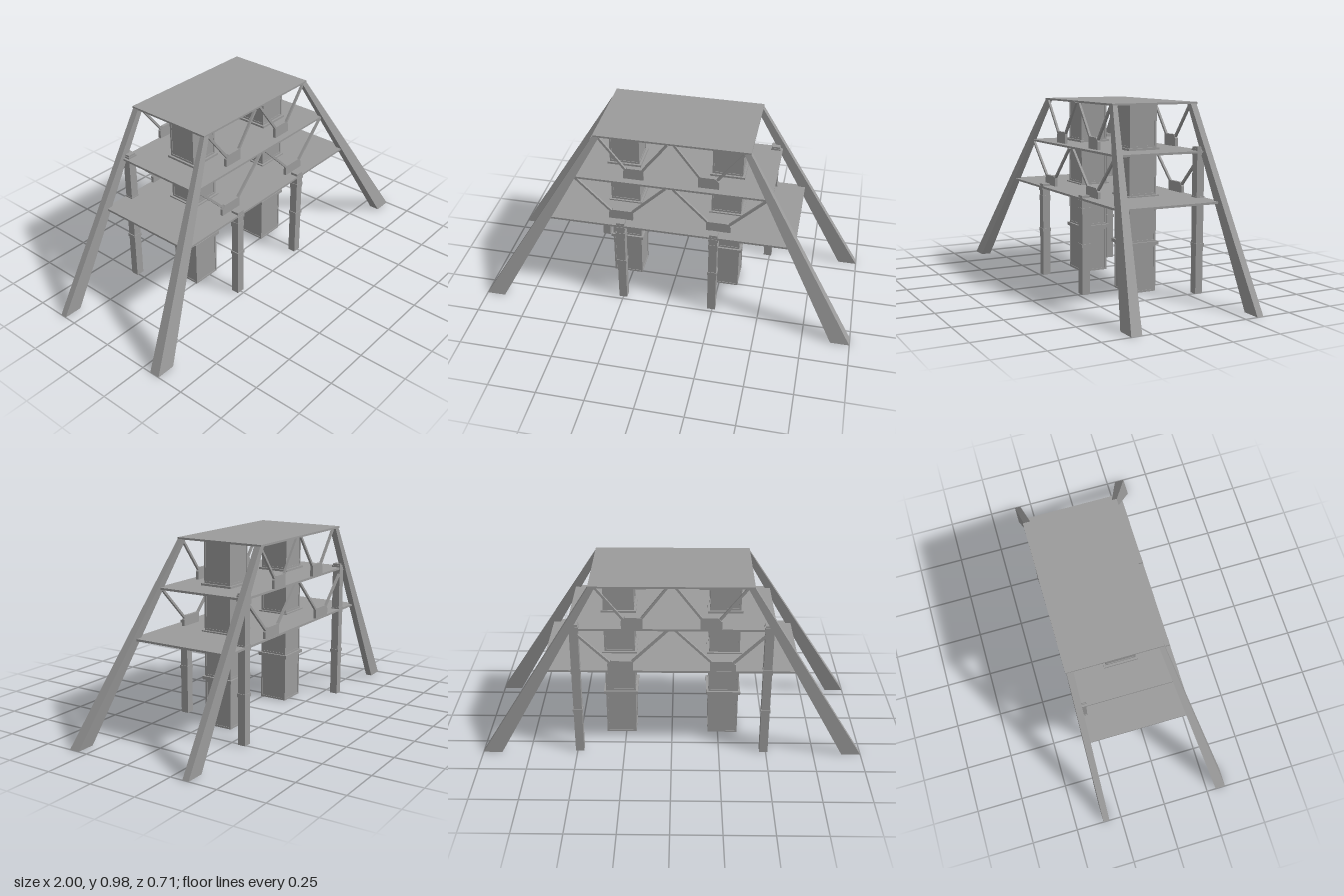
import * as THREE from 'three';

const material = new THREE.MeshStandardMaterial({ color: 0x9b9b9b, flatShading: true });

function add(parent, name, geometry) {
  const mesh = new THREE.Mesh(geometry, material);
  mesh.name = name;
  parent.add(mesh);
  return mesh;
}

// Box given by its limits on each axis
function box(parent, name, x0, x1, y0, y1, z0, z1) {
  const mesh = add(parent, name, new THREE.BoxGeometry(x1 - x0, y1 - y0, z1 - z0));
  mesh.position.set((x0 + x1) / 2, (y0 + y1) / 2, (z0 + z1) / 2);
}

// Upright box centred on x, z
function block(parent, name, x, z, w, d, y0, y1) {
  box(parent, name, x - w / 2, x + w / 2, y0, y1, z - d / 2, z + d / 2);
}

// Slanted, tapering leg between a ground footprint and a top footprint [x0, x1, z0, z1]
function leg(parent, name, side, bottom, top, height) {
  const g = new THREE.BoxGeometry(1, 1, 1);
  const p = g.attributes.position;
  for (let i = 0; i < p.count; i++) {
    const up = p.getY(i) > 0;
    const q = up ? top : bottom;
    const outer = p.getX(i) * side > 0;
    p.setXYZ(i, side * (outer ? q[1] : q[0]), up ? height : 0, p.getZ(i) > 0 ? q[3] : q[2]);
  }
  g.computeVertexNormals();
  add(parent, name, g);
}

// Thin bar between two points in a plane of constant z
function bar(parent, name, x0, y0, x1, y1, z, t) {
  const mesh = add(parent, name, new THREE.BoxGeometry(Math.hypot(x1 - x0, y1 - y0), t, t));
  mesh.position.set((x0 + x1) / 2, (y0 + y1) / 2, z);
  mesh.rotation.z = Math.atan2(y1 - y0, x1 - x0);
}

// V-shaped truss: chamfered foot and two bars spreading up to the deck above
function truss(parent, side, z, floor, footTop, ceiling, xIn, xOut, topIn, topOut) {
  const group = new THREE.Group();
  group.name = 'truss';
  const c = 0.02, depth = 0.016;
  const shape = new THREE.Shape();
  shape.moveTo(xIn, floor);
  shape.lineTo(xOut, floor);
  shape.lineTo(xOut, footTop - c);
  shape.lineTo(xOut - c, footTop);
  shape.lineTo(xIn + c / 4, footTop);
  shape.lineTo(xIn, footTop - c / 4);
  const foot = add(group, 'trussFoot', new THREE.ExtrudeGeometry(shape, { depth, bevelEnabled: false }));
  foot.position.z = z - side * depth / 2;
  if (side < 0) foot.rotation.y = Math.PI;
  bar(group, 'trussBar', side * (xOut - c / 2), footTop - c / 2, side * topOut, ceiling, z, 0.012);
  bar(group, 'trussBar', side * (xIn + c / 4), footTop - c / 4, side * topIn, ceiling, z, 0.012);
  parent.add(group);
}

// Square tower of stacked framed panels separated by collars
function tower(parent, x) {
  const group = new THREE.Group();
  group.name = 'tower';
  const z = -0.068, w = 0.16, d = 0.155, f = 0.01;
  block(group, 'towerCore', x, z, w - 0.006, d - 0.006, 0.002, 0.965);
  for (const [y0, y1] of [[0, 0.245], [0.263, 0.478], [0.505, 0.714], [0.747, 0.965]]) {
    for (const sx of [-1, 1]) {
      for (const sz of [-1, 1]) {
        block(group, 'panelPost', x + sx * (w - f) / 2, z + sz * (d - f) / 2, f, f, y0, y1);
      }
    }
    for (const y of [y0, y1 - f]) block(group, 'panelRail', x, z, w, d, y, y + f);
  }
  // Wide collars, with a narrower step below each deck
  for (const [y0, y1] of [[0.245, 0.263], [0.487, 0.505], [0.727, 0.747]]) {
    block(group, 'towerCollar', x, z, w + 0.022, d + 0.022, y0, y1);
  }
  for (const [y0, y1] of [[0.478, 0.487], [0.714, 0.727]]) {
    block(group, 'collarStep', x, z, w + 0.01, d + 0.01, y0, y1);
  }
  parent.add(group);
}

// Slim square column with collars
function column(parent, name, x, z, height, collars) {
  const group = new THREE.Group();
  group.name = name;
  block(group, 'columnShaft', x, z, 0.044, 0.042, 0, height);
  for (const [y0, y1, w] of collars) block(group, 'columnCollar', x, z, w, w - 0.004, y0, y1);
  parent.add(group);
}

export function createModel() {
  const model = new THREE.Group();
  model.name = 'tieredPlatform';

  // Three decks, narrowing upward
  box(model, 'lowerDeck', -0.656, 0.664, 0.487, 0.498, -0.335, 0.232);
  box(model, 'middleDeck', -0.525, 0.525, 0.725, 0.736, -0.335, 0.173);
  box(model, 'topDeck', -0.405, 0.405, 0.965, 0.975, -0.355, 0.133);

  for (const side of [-1, 1]) {
    // Splayed corner legs
    leg(model, 'frontLeg', side, [0.9, 1, 0.3, 0.355], [0.37, 0.405, 0.107, 0.133], 0.967);
    leg(model, 'backLeg', side, [0.9, 1, -0.35, -0.316], [0.37, 0.405, -0.35, -0.316], 0.967);

    tower(model, side * 0.275);

    // Columns under the front of the lower deck and the back of the middle deck
    column(model, 'frontColumn', side * 0.247 - 0.004, 0.21, 0.511,
      [[0.245, 0.263, 0.052], [0.417, 0.448, 0.05], [0.472, 0.487, 0.052]]);
    column(model, 'backColumn', side * 0.488, -0.312, 0.755,
      [[0.245, 0.263, 0.052], [0.475, 0.505, 0.05], [0.715, 0.745, 0.052]]);

    // Trusses along the front and back edges of both storeys
    for (const z of [0.166, -0.326]) {
      truss(model, side, z, 0.498, 0.552, 0.725, 0.195, 0.325, 0.02, 0.5);
    }
    for (const z of [0.128, -0.33]) {
      truss(model, side, z, 0.736, 0.798, 0.965, 0.143, 0.25, 0.018, 0.378);
    }
  }
  return model;
}
